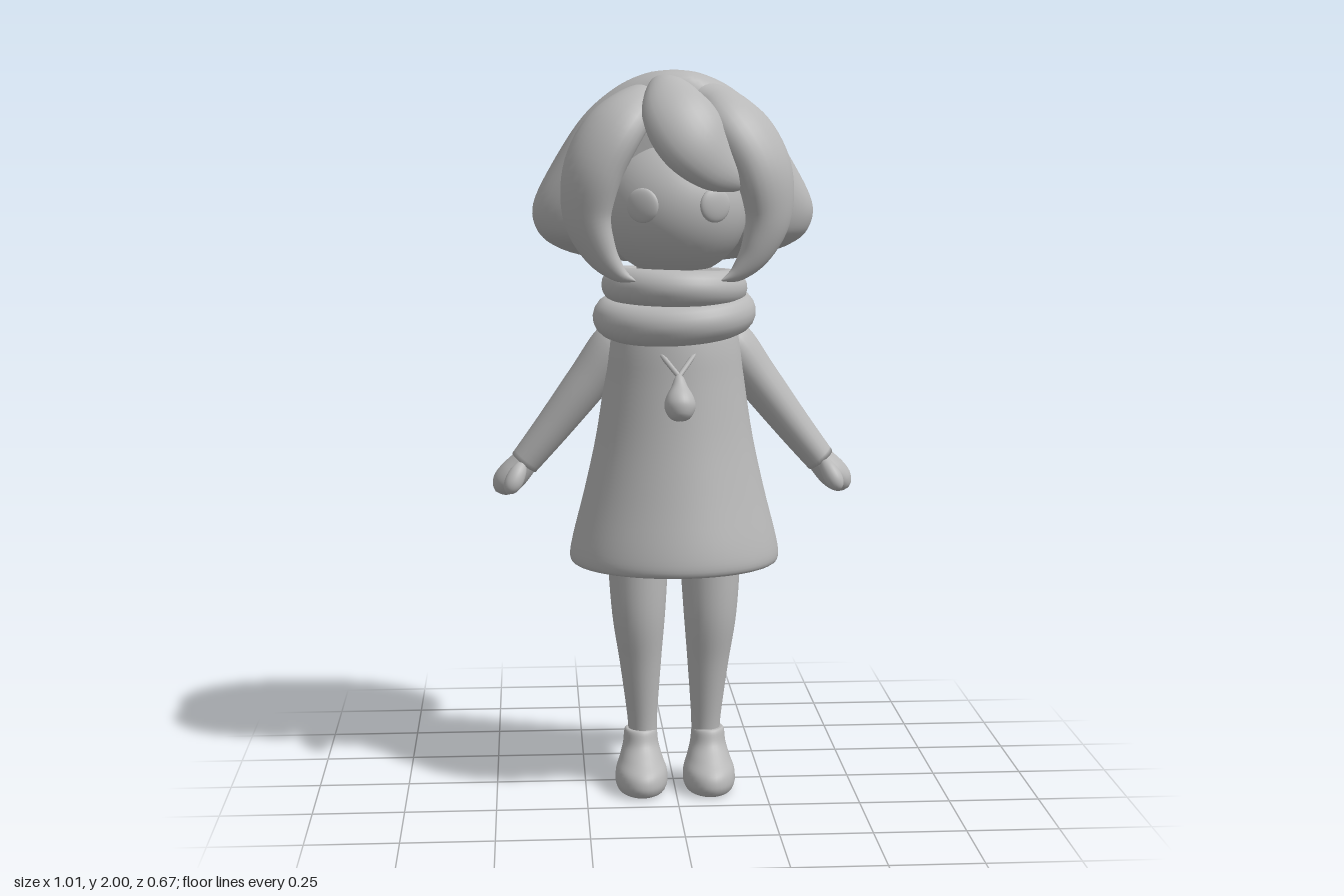
import * as THREE from 'three';

const clay = new THREE.MeshStandardMaterial({ color: 0xb8b8b8 });
clay.name = 'clay grey';
const V = (x, y, z) => new THREE.Vector3(x, y, z);

// Smoothly resample rows of numbers (Catmull-Rom on every column)
function smooth(rows, n = 5) {
  const out = [], at = (i) => rows[Math.min(rows.length - 1, Math.max(0, i))];
  for (let i = 0; i < rows.length - 1; i++) {
    for (let s = 0; s < n; s++) {
      const t = s / n;
      out.push(rows[i].map((p1, k) => {
        const p0 = at(i - 1)[k], p2 = at(i + 1)[k], p3 = at(i + 2)[k];
        return p1 + 0.5 * t * (p2 - p0 + t * (2 * p0 - 5 * p1 + 4 * p2 - p3 + t * (3 * (p1 - p2) + p3 - p0)));
      }));
    }
  }
  out.push(at(rows.length - 1));
  return out;
}

// Skin a list of rings, closing both ends with a fan
function skin(rings) {
  const pos = [], idx = [], m = rings[0].length, last = (rings.length - 1) * m;
  rings.forEach((r) => r.forEach((p) => pos.push(p.x, p.y, p.z)));
  for (let i = 0; i < rings.length - 1; i++) {
    for (let j = 0; j < m; j++) {
      const a = i * m + j, b = i * m + (j + 1) % m;
      idx.push(a, b, b + m, a, b + m, a + m);
    }
  }
  for (const [ring, base, flip] of [[rings[0], 0, true], [rings[rings.length - 1], last, false]]) {
    const c = ring.reduce((s, p) => s.add(p), V(0, 0, 0)).divideScalar(m), k = pos.length / 3;
    pos.push(c.x, c.y, c.z);
    for (let j = 0; j < m; j++) {
      const a = base + j, b = base + (j + 1) % m;
      idx.push(k, flip ? b : a, flip ? a : b);
    }
  }
  const g = new THREE.BufferGeometry();
  g.setAttribute('position', new THREE.Float32BufferAttribute(pos, 3));
  g.setIndex(idx);
  g.computeVertexNormals();
  return g;
}

// Sweep ellipses along rows [x, y, z, width, thickness]; outward(p) gives the thickness direction
function sweep(rows, outward, sides = 24) {
  const r = smooth(rows, 6);
  return skin(r.map((q, i) => {
    const p = V(q[0], q[1], q[2]);
    const a = r[Math.max(0, i - 1)], b = r[Math.min(r.length - 1, i + 1)];
    const T = V(b[0] - a[0], b[1] - a[1], b[2] - a[2]).normalize();
    const S = outward(p).cross(T).normalize(), N = T.clone().cross(S);
    return Array.from({ length: sides }, (_, j) => {
      const t = (j / sides) * Math.PI * 2;
      return p.clone().addScaledVector(S, Math.max(q[3], 0.001) * Math.cos(t))
        .addScaledVector(N, Math.max(q[4], 0.001) * Math.sin(t));
    });
  }));
}

// Stack rows [y, halfWidth, zBack, zFront, tilt] around x = cx; mid = z of the widest line
function stack(rows, cx, mid, frontPower, sides = 48) {
  return skin(smooth(rows).map(([y, rx, zb, zf, tilt]) => {
    const c = mid === null ? (zb + zf) / 2 : Math.min(zf, Math.max(zb, mid));
    return Array.from({ length: sides }, (_, j) => {
      const t = (j / sides) * Math.PI * 2, s = Math.sin(t), k = Math.cos(t);
      const front = k > 0;
      const x = rx * Math.sign(s) * (front ? Math.abs(s) ** frontPower : Math.abs(s));
      const z = c + (front ? (zf - c) * k ** frontPower : (c - zb) * k);
      return V(cx + x, y + tilt * z, z);
    });
  }));
}

export function createModel() {
  const model = new THREE.Group();
  const add = (name, geo) => {
    const mesh = new THREE.Mesh(geo, clay);
    mesh.name = name;
    model.add(mesh);
    return mesh;
  };
  const mirrorX = (rows, s) => rows.map(([x, ...rest]) => [x * s, ...rest]);
  const fromHead = (p) => p.clone().sub(V(0, 1.66, 0)).normalize();
  const forward = () => V(0, 0, 1);

  // Head and neck
  const head = add('head', new THREE.SphereGeometry(1, 40, 28));
  head.scale.set(0.205, 0.195, 0.21);
  head.position.set(0, 1.637, 0.05);
  add('neck', new THREE.CylinderGeometry(0.1, 0.12, 0.24, 32)).position.set(0, 1.38, 0.045);

  // Hair: full bob at the back, tilted up towards the face
  add('hairBack', stack([
    [1.53, 0.004, -0.08, -0.07, 0.3], [1.52, 0.15, -0.13, 0.03, 0.3], [1.515, 0.27, -0.23, 0.08, 0.25],
    [1.535, 0.34, -0.29, 0.11, 0.18], [1.575, 0.377, -0.322, 0.125, 0.12], [1.64, 0.383, -0.332, 0.135, 0.06],
    [1.74, 0.335, -0.292, 0.15, 0], [1.87, 0.25, -0.21, 0.16, 0], [1.95, 0.16, -0.12, 0.155, 0],
    [1.99, 0.075, -0.03, 0.13, 0], [2.0, 0.004, 0.045, 0.055, 0]], 0, -0.01, 0.75));

  // Side locks and the swept fringe meet at the parting
  const lock = [[0.09, 1.92, 0.12, 0.06, 0.045], [0.165, 1.85, 0.185, 0.095, 0.06], [0.225, 1.74, 0.205, 0.095, 0.065],
    [0.242, 1.62, 0.2, 0.078, 0.055], [0.21, 1.525, 0.205, 0.055, 0.04], [0.16, 1.465, 0.215, 0.026, 0.022],
    [0.115, 1.445, 0.225, 0.002, 0.002]];
  add('leftHairLock', sweep([[-0.05, 1.975, 0.09, 0.002, 0.002], ...lock], fromHead));
  add('rightHairLock', sweep([[-0.04, 1.965, 0.09, 0.002, 0.002], ...mirrorX(lock, -1)], fromHead));
  add('fringe', sweep([[-0.055, 1.98, 0.09, 0.002, 0.002], [-0.03, 1.945, 0.17, 0.06, 0.04],
    [-0.005, 1.885, 0.235, 0.095, 0.055], [0.035, 1.815, 0.265, 0.1, 0.058], [0.09, 1.755, 0.26, 0.078, 0.048],
    [0.145, 1.715, 0.235, 0.04, 0.03], [0.185, 1.695, 0.205, 0.002, 0.002]], fromHead));

  // Scarf: two loose rolls
  [['scarfLower', 0.168, 0.145, 0.056, 1.34, 0.12], ['scarfUpper', 0.15, 0.15, 0.05, 1.415, -0.04]]
    .forEach(([name, rx, rz, tube, y, tilt], i) => {
      const pts = Array.from({ length: 32 }, (_, k) => {
        const t = (k / 32) * Math.PI * 2, x = rx * Math.sin(t), z = rz * Math.cos(t);
        return V(x, y - tilt * z + (i ? -0.03 : 0.05) * x, 0.05 + z);
      });
      add(name, new THREE.TubeGeometry(new THREE.CatmullRomCurve3(pts, true), 72, tube, 18, true));
    });

  // Dress: flared bell with a rounded hem and a shallow hollow underneath
  const profile = smooth([[0.001, 0.74], [0.12, 0.74], [0.215, 0.73], [0.235, 0.69], [0.25, 0.655], [0.275, 0.648],
    [0.29, 0.665], [0.283, 0.72], [0.25, 0.85], [0.217, 1.0], [0.194, 1.15], [0.182, 1.25], [0.165, 1.31],
    [0.12, 1.34], [0.001, 1.35]], 4).map(([r, y]) => new THREE.Vector2(Math.max(r, 0), y));
  const dress = add('dress', new THREE.LatheGeometry(profile, 56));
  dress.scale.z = 0.875;
  dress.position.z = 0.047;

  // Pendant drop on two cords
  const drop = smooth([[0.001, -0.065], [0.026, -0.057], [0.041, -0.03], [0.038, -0.002], [0.022, 0.03],
    [0.012, 0.055], [0.001, 0.066]], 4).map(([r, y]) => new THREE.Vector2(Math.max(r, 0), y));
  const pendant = add('pendant', new THREE.LatheGeometry(drop, 28));
  pendant.position.set(0, 1.138, 0.272);
  pendant.rotation.x = -0.42;

  for (const s of [1, -1]) {
    const side = s > 0 ? 'left' : 'right';

    add(side + 'Cord', new THREE.TubeGeometry(
      new THREE.LineCurve3(V(s * 0.075, 1.28, 0.165), V(0, 1.19, 0.24)), 4, 0.007, 8));

    // Eye: shallow disc resting on the face
    const eye = add(side + 'Eye', new THREE.SphereGeometry(1, 28, 14));
    eye.scale.set(0.046, 0.046, 0.014);
    eye.position.set(s * 0.096, 1.645, 0.234);
    eye.rotation.y = s * 0.48;

    // Sleeve, mitten hand and thumb
    add(side + 'Arm', sweep(mirrorX([[0.12, 1.3, 0, 0.03, 0.04], [0.155, 1.255, 0, 0.066, 0.078],
      [0.235, 1.15, -0.003, 0.06, 0.073], [0.335, 1.02, -0.007, 0.05, 0.06], [0.415, 0.92, -0.01, 0.042, 0.05]], s), forward));
    add(side + 'Hand', sweep(mirrorX([[0.375, 0.97, -0.01, 0.03, 0.04], [0.415, 0.92, -0.01, 0.038, 0.047],
      [0.447, 0.885, -0.012, 0.042, 0.054], [0.472, 0.86, -0.013, 0.037, 0.048], [0.488, 0.845, -0.013, 0.022, 0.03],
      [0.495, 0.838, -0.013, 0.001, 0.001]], s), forward));
    add(side + 'Thumb', sweep(mirrorX([[0.418, 0.925, 0.02, 0.012, 0.012], [0.432, 0.9, 0.04, 0.023, 0.022],
      [0.446, 0.873, 0.054, 0.025, 0.023], [0.457, 0.853, 0.058, 0.017, 0.016], [0.462, 0.843, 0.058, 0.001, 0.001]], s), forward));

    // Leg tapering to the ankle
    add(side + 'Leg', sweep(mirrorX([[0.088, 0.12, 0.04, 0.04, 0.045], [0.09, 0.2, 0.042, 0.042, 0.047],
      [0.095, 0.36, 0.047, 0.058, 0.063], [0.1, 0.5, 0.055, 0.074, 0.078], [0.101, 0.65, 0.043, 0.084, 0.092],
      [0.101, 0.76, 0.043, 0.086, 0.094]], s), forward));

    // Ankle shoe with a rounded toe
    add(side + 'Shoe', stack([[0, 0.056, -0.008, 0.175, 0], [0.008, 0.066, -0.017, 0.19, 0],
      [0.03, 0.073, -0.02, 0.198, 0], [0.06, 0.071, -0.02, 0.188, 0], [0.09, 0.06, -0.02, 0.152, 0],
      [0.125, 0.05, -0.016, 0.112, 0], [0.16, 0.046, -0.01, 0.097, 0], [0.168, 0.04, -0.004, 0.09, 0]],
    s * 0.095, null, 1, 32));
  }
  return model;
}
